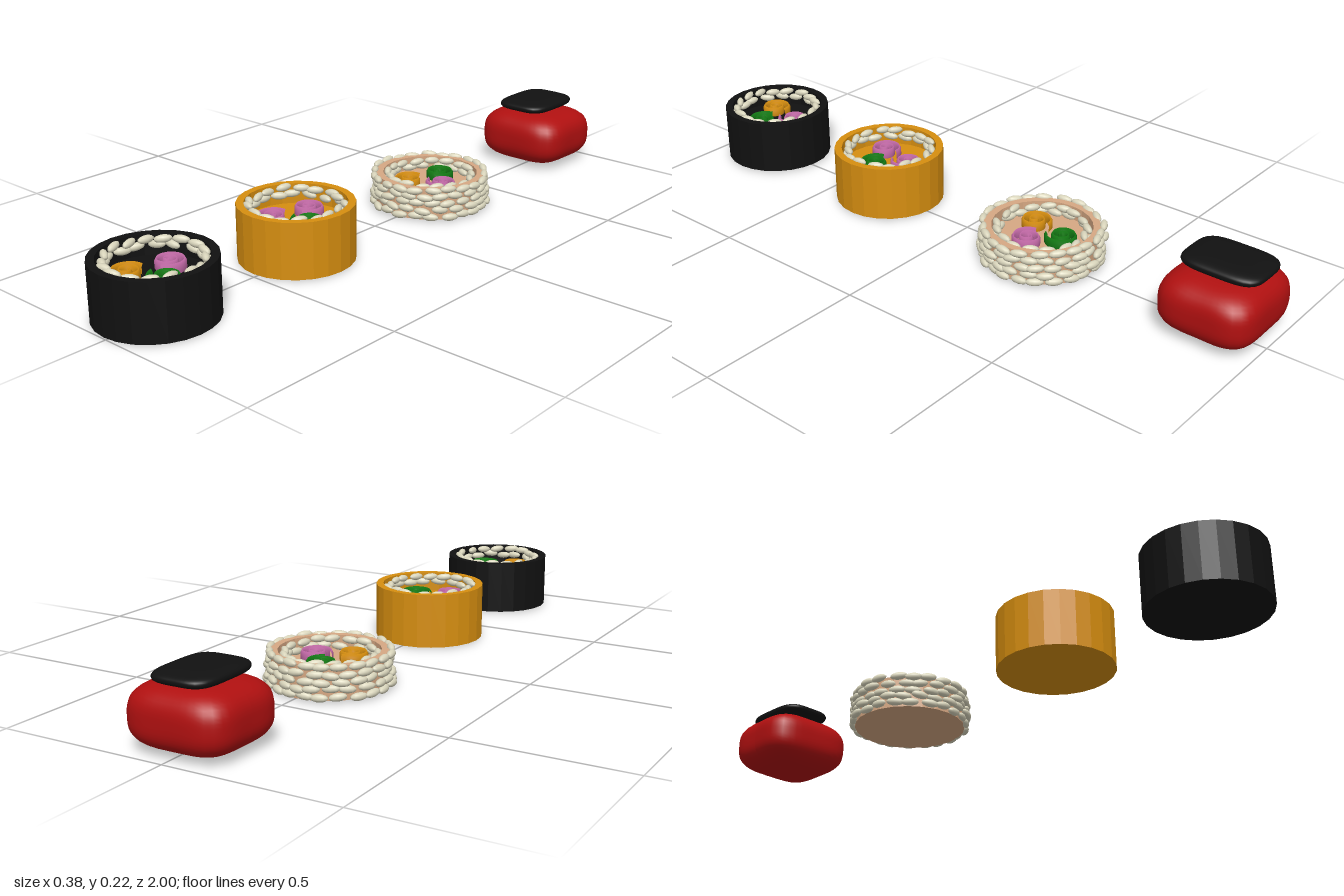
import * as THREE from 'three';
import { mergeGeometries } from 'three/addons/utils/BufferGeometryUtils.js';

const mat = (name, color) => {
  const m = new THREE.MeshStandardMaterial({ color });
  m.name = name;
  return m;
};

export function createModel() {
  const seaweed = mat('seaweed black', 0x111111);
  const red = mat('fish red', 0xb01010);
  const orange = mat('egg orange', 0xd68e10);
  const tan = mat('rice base tan', 0xd6a883);
  const rice = mat('rice cream', 0xd9d5bc);
  const pink = mat('filling pink', 0xc46aa8);
  const green = mat('filling green', 0x147a14);
  const model = new THREE.Group();
  model.name = 'sushiSet';

  let seed = 7;
  const rand = () => {
    seed = (seed * 16807) % 2147483647;
    return seed / 2147483647 - 0.5;
  };

  const add = (parent, name, geometry, material, x = 0, y = 0, z = 0) => {
    const mesh = new THREE.Mesh(geometry, material);
    mesh.name = name;
    mesh.position.set(x, y, z);
    parent.add(mesh);
    return mesh;
  };

  // Faceted cup: closed base, outer wall, rim, inner wall and floor
  const cupGeometry = (y0, y1, floor, rOut, rIn) => {
    const pts = [[0, y0], [rOut, y0], [rOut, y1], [rIn, y1], [rIn, floor], [0, floor]];
    const g = new THREE.LatheGeometry(pts.map(p => new THREE.Vector2(...p)), 24).toNonIndexed();
    g.computeVertexNormals();
    return g;
  };

  // Ring of grains lying along the circle, each slightly tilted
  const grainRing = (count, radius, y, size, phase, tilt) => {
    const grains = [];
    for (let i = 0; i < count; i++) {
      const a = phase + (i + rand() * 0.3) / count * Math.PI * 2;
      const r = radius + rand() * 0.012;
      const g = new THREE.SphereGeometry(1, 10, 7);
      g.scale(size, size, size * 2.3);
      g.rotateX(rand() * 0.25);
      g.rotateY(-a + tilt + rand() * 0.4);
      g.translate(Math.cos(a) * r, y + rand() * 0.006, Math.sin(a) * r);
      grains.push(g);
    }
    return grains;
  };

  // Curled filling strip standing on the floor
  const curlGeometry = (turn, height) => {
    const pts = [];
    for (let i = 0; i <= 26; i++) {
      const t = i / 26, a = turn + t * Math.PI * 4.2, r = 0.006 + 0.042 * t;
      pts.push(new THREE.Vector3(Math.cos(a) * r, 0, Math.sin(a) * r));
    }
    const g = new THREE.TubeGeometry(new THREE.CatmullRomCurve3(pts), 70, 0.0055, 6);
    g.scale(1, height / 0.011, 1);
    return g;
  };

  const spots = [[-0.015, -0.06, 0.5], [0.055, 0.01, 2.4], [-0.04, 0.055, 4.2]];
  const roll = (name, z, wrap, top, drop, fillings) => {
    const g = new THREE.Group();
    g.name = name;
    g.position.set(-0.009, 0, z);
    model.add(g);
    const floor = top - drop - 0.03;
    add(g, 'wrapper', cupGeometry(0.006, top, floor, 0.168, 0.146), wrap);
    const inner = [
      ...grainRing(17, 0.129, top - 0.008, 0.011, 0, 0.3),
      ...grainRing(17, 0.131, top - 0.027, 0.011, 0.18, -0.2),
    ];
    add(g, 'innerRice', mergeGeometries(inner), rice);
    fillings.forEach((m, i) => {
      const [x, dz, turn] = spots[i];
      add(g, 'fillingCurl', curlGeometry(turn, 0.036), m, x, top - drop - 0.018, dz);
    });
    return g;
  };

  roll('seaweedRoll', 0.831, seaweed, 0.172, 0.03, [pink, green, orange]);
  roll('eggRoll', 0.323, orange, 0.172, 0.03, [pink, green, pink]);
  const riceRoll = roll('riceRoll', -0.272, tan, 0.104, 0.012, [green, pink, orange]);

  // Five rows of grains around the outside of the rice roll
  const outer = [];
  for (let row = 0; row < 5; row++) {
    outer.push(...grainRing(22, 0.173, 0.017 + row * 0.021, 0.0115, row * 0.14, 0));
  }
  add(riceRoll, 'outerRice', mergeGeometries(outer), rice);

  // Pillow: a sphere pushed out to a rounded box; p squares the plan, q the height
  const pillow = (sx, sy, sz, p, q, wobble) => {
    const g = new THREE.SphereGeometry(1, 48, 32);
    const pos = g.attributes.position;
    for (let i = 0; i < pos.count; i++) {
      const x = pos.getX(i), y = pos.getY(i), z = pos.getZ(i);
      const h = Math.pow(Math.abs(x) ** p + Math.abs(z) ** p, 1 / p);
      const k = Math.pow(h ** q + Math.abs(y) ** q, -1 / q);
      const w = 1 + wobble * Math.sin(3 * x + 4 * z + 2) * h;
      pos.setXYZ(i, x * k * w * sx, y * k * sy, z * k * w * sz);
    }
    g.computeVertexNormals();
    return g;
  };
  const fish = new THREE.Group();
  fish.name = 'fishPiece';
  fish.position.set(-0.013, 0, -0.858);
  model.add(fish);
  add(fish, 'fishBody', pillow(0.152, 0.088, 0.142, 4, 3, 0.015), red, 0, 0.097, 0);
  add(fish, 'seaweedTopping', pillow(0.089, 0.021, 0.117, 4, 2.6, 0), seaweed, -0.008, 0.201, -0.003);

  return model;
}
